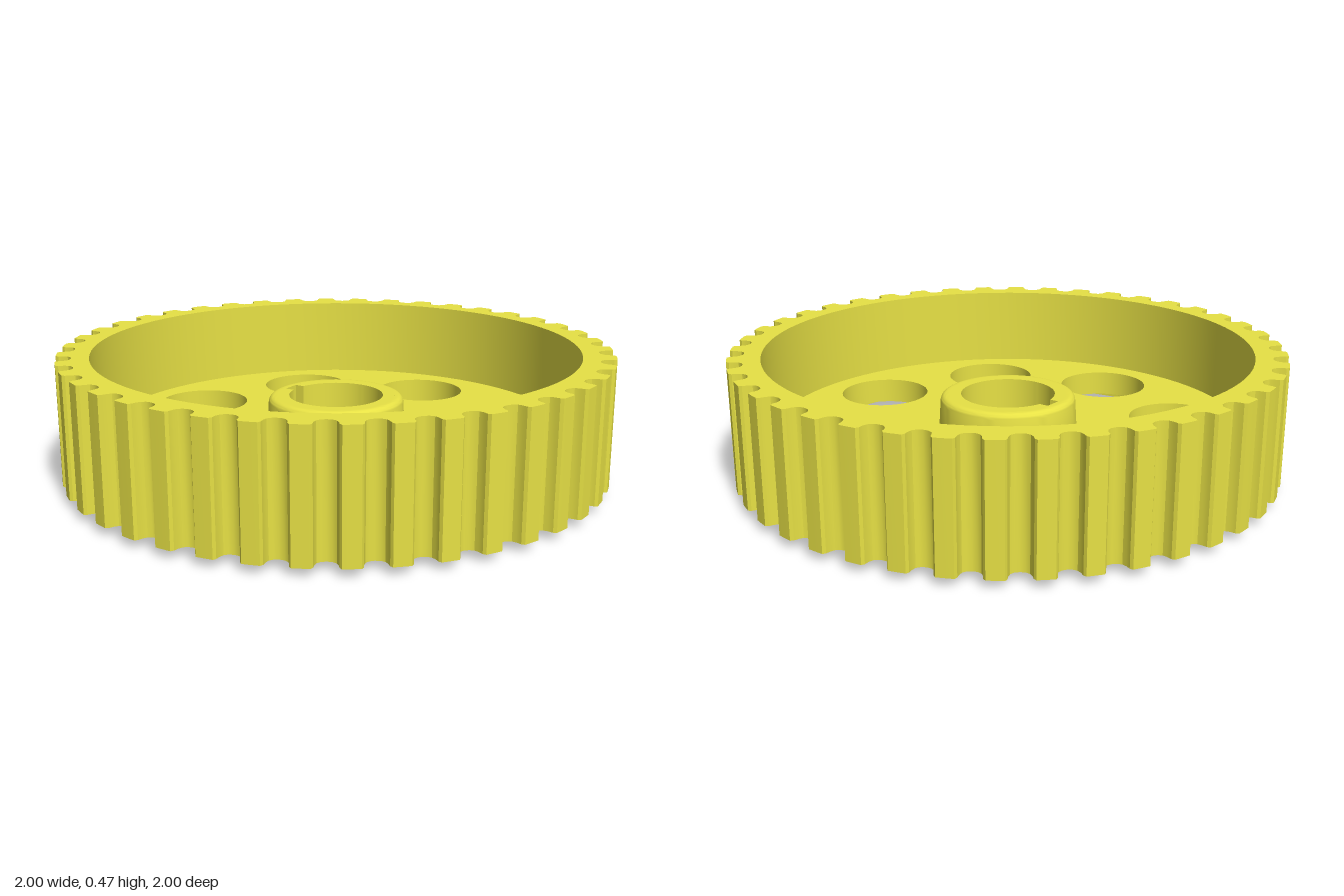
import * as THREE from 'three';
import { toCreasedNormals } from 'three/addons/utils/BufferGeometryUtils.js';

const TEETH = 42;
const RIM_BOTTOM = 0.03, RIM_TOP = 0.467, RIM_INNER = 0.883;
const WEB_BOTTOM = 0.07, WEB_TOP = 0.165;
const HUB_CORE = 0.215, HUB_RADIUS = 0.255, HUB_TOP = 0.287;

const material = new THREE.MeshStandardMaterial({ color: 0xe7e145 });

function part(name, geometry) {
  const mesh = new THREE.Mesh(toCreasedNormals(geometry, 0.5), material);
  mesh.name = name;
  return mesh;
}

// Extrude a plan outline vertically between two heights
function slab(shape, y0, y1) {
  const g = new THREE.ExtrudeGeometry(shape, { depth: y1 - y0, bevelEnabled: false, curveSegments: 48 });
  return g.rotateX(-Math.PI / 2).translate(0, y0, 0);
}

function circle(r, x = 0, y = 0, PathType = THREE.Path) {
  return new PathType().absarc(x, y, r, 0, Math.PI * 2, false);
}

function lathe(points) {
  return new THREE.LatheGeometry(points.map(([r, y]) => new THREE.Vector2(r, y)), 64);
}

// Quarter-round profile points about a centre, from angle a0 to a1 in degrees
function arc(cr, cy, radius, a0, a1) {
  const points = [];
  for (let i = 0; i <= 6; i++) {
    const a = THREE.MathUtils.degToRad(a0 + (a1 - a0) * i / 6);
    points.push([cr + radius * Math.cos(a), cy + radius * Math.sin(a)]);
  }
  return points;
}

// Toothed outline: flat-tipped teeth with round valleys
function toothedShape() {
  const pitch = Math.PI * 2 / TEETH;
  const half = [[0, 1], [0.029, 1], [0.036, 0.99], [0.038, 0.972], [0.044, 0.957], [0.057, 0.947]];
  const tooth = [
    ...half.slice(1).reverse().map(([a, r]) => [-a, r]),
    ...half,
    [pitch / 2, 0.944],
  ];
  const points = [];
  for (let i = 0; i < TEETH; i++) {
    const mid = Math.PI / 2 + 0.032 + i * pitch;
    for (const [a, r] of tooth) {
      points.push(new THREE.Vector2(r * Math.cos(mid + a), r * Math.sin(mid + a)));
    }
  }
  return new THREE.Shape(points);
}

export function createModel() {
  const model = new THREE.Group();
  model.name = 'timingPulley';

  // Toothed rim
  const rim = toothedShape();
  rim.holes.push(circle(RIM_INNER));
  model.add(part('toothedRim', slab(rim, RIM_BOTTOM, RIM_TOP)));

  // Web plate with eight round lightening holes
  const web = circle(RIM_INNER, 0, 0, THREE.Shape);
  web.holes.push(circle(0.25));
  for (let i = 0; i < 8; i++) {
    const a = i * Math.PI / 4;
    web.holes.push(circle(0.171, 0.635 * Math.cos(a), 0.635 * Math.sin(a)));
  }
  model.add(part('webPlate', slab(web, WEB_BOTTOM, WEB_TOP)));

  // Fillet between the underside of the web and the rim
  const f = 0.03;
  model.add(part('rimFillet', lathe(arc(RIM_INNER - f, WEB_BOTTOM - f, f, 90, 0))));

  // Hub core with bore and keyway on the -x side
  const core = circle(HUB_CORE, 0, 0, THREE.Shape);
  const keyHalf = 0.032, bore = 0.173;
  const keyAngle = Math.asin(keyHalf / bore);
  const hole = new THREE.Path();
  hole.absarc(0, 0, bore, -Math.PI + keyAngle, Math.PI - keyAngle, false);
  hole.lineTo(-0.205, keyHalf);
  hole.lineTo(-0.205, -keyHalf);
  hole.closePath();
  core.holes.push(hole);
  model.add(part('hubCore', slab(core, 0, HUB_TOP)));

  // Slightly tapered hub collar with rounded edges
  model.add(part('hubCollar', lathe([
    [HUB_CORE, 0],
    ...arc(0.235, 0.013, 0.013, -90, 0),
    [HUB_RADIUS, WEB_BOTTOM], [HUB_RADIUS, WEB_TOP],
    ...arc(0.225, HUB_TOP - 0.024, 0.024, 0, 90),
    [HUB_CORE, HUB_TOP],
  ])));

  // Small locating tab under the web, in line with the keyway
  const tab = new THREE.BoxGeometry(0.04, 0.045, 0.05).translate(-0.867, 0.054, 0);
  model.add(part('locatingTab', tab));

  return model;
}
